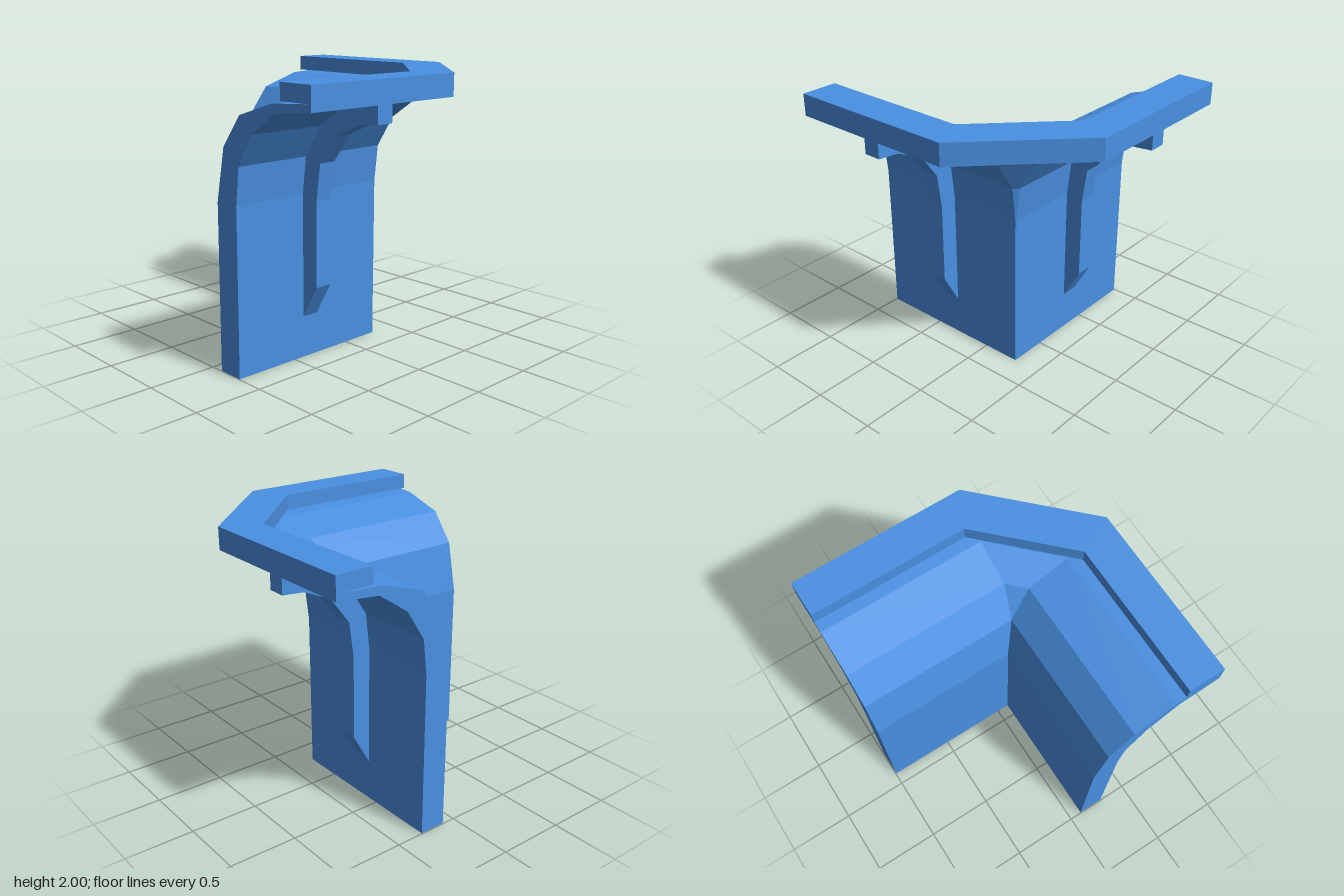
import * as THREE from 'three';

const material = new THREE.MeshStandardMaterial({ color: 0x4a90e2, flatShading: true });
const END = 0.995;

// Sweeps a closed profile of [offset, height, corner] points along the L-shaped plan.
// The corner value is where each straight run stops, leaving a chamfer between the runs.
function sweepCorner(profile) {
  const stations = [
    ([d, y]) => new THREE.Vector3(-END, y, -d),
    ([d, y, c]) => new THREE.Vector3(c, y, -d),
    ([d, y, c]) => new THREE.Vector3(d, y, -c),
    ([d, y]) => new THREE.Vector3(d, y, END),
  ].map((place) => profile.map(place));
  const points = [];
  const addTriangle = (a, b, c) => {
    const area = b.clone().sub(a).cross(c.clone().sub(a)).length();
    if (area > 1e-8) points.push(a, b, c);
  };
  const n = profile.length;
  for (let i = 0; i < 3; i++) {
    const s = stations[i], t = stations[i + 1];
    for (let j = 0; j < n; j++) {
      const k = (j + 1) % n;
      addTriangle(s[j], t[k], t[j]);
      addTriangle(s[j], s[k], t[k]);
    }
  }
  // End caps
  const outline = profile.map(([d, y]) => new THREE.Vector2(d, y));
  for (const [a, b, c] of THREE.ShapeUtils.triangulateShape(outline, [])) {
    addTriangle(stations[0][a], stations[0][c], stations[0][b]);
    addTriangle(stations[3][a], stations[3][b], stations[3][c]);
  }
  const geometry = new THREE.BufferGeometry().setFromPoints(points);
  geometry.computeVertexNormals();
  return geometry;
}

function addMesh(parent, name, geometry) {
  const mesh = new THREE.Mesh(geometry, material);
  mesh.name = name;
  parent.add(mesh);
  return mesh;
}

export function createModel() {
  const model = new THREE.Group();
  model.name = 'cornerWall';

  // Outer face of the wall, flaring outwards towards the top
  const outer = [[0.29, 0], [0.29, 1.18], [0.32, 1.44], [0.46, 1.66], [0.68, 1.81], [0.995, 1.84]];
  // Inner face, from the lip down to the ground
  const inner = [
    [0.995, 1.89, 0.285], [0.65, 1.867, 0.23], [0.34, 1.77, 0.22],
    [0.17, 1.55, 0.17], [0.095, 1.18, 0.095], [0.095, 0, 0.095],
  ];
  addMesh(model, 'flaredWall', sweepCorner([...outer.map(([d, y]) => [d, y, 0.285]), ...inner]));

  // Parapet along the lip
  addMesh(model, 'parapet', sweepCorner([
    [0.995, 1.888, 0.285], [0.995, 2, 0.285], [0.725, 2, 0.155], [0.725, 1.888, 0.155],
  ]));

  // Support rib following the flare, one on each arm
  const ribOutline = [
    [0.29, 0.3], [0.425, 0.54], [0.425, 1.15], [0.46, 1.41], [0.61, 1.61], [0.81, 1.7], [0.975, 1.715],
    [0.975, 1.84], [0.68, 1.812], [0.46, 1.662], [0.32, 1.442], [0.29, 1.18],
  ];
  const ribShape = new THREE.Shape(ribOutline.map(([x, y]) => new THREE.Vector2(x, y)));
  const ribGeometry = new THREE.ExtrudeGeometry(ribShape, { depth: 0.13, bevelEnabled: false });
  addMesh(model, 'leftRib', ribGeometry).position.z = 0.29;
  const backRib = addMesh(model, 'backRib', ribGeometry);
  backRib.rotation.y = Math.PI / 2;
  backRib.position.x = -0.42;

  return model;
}
